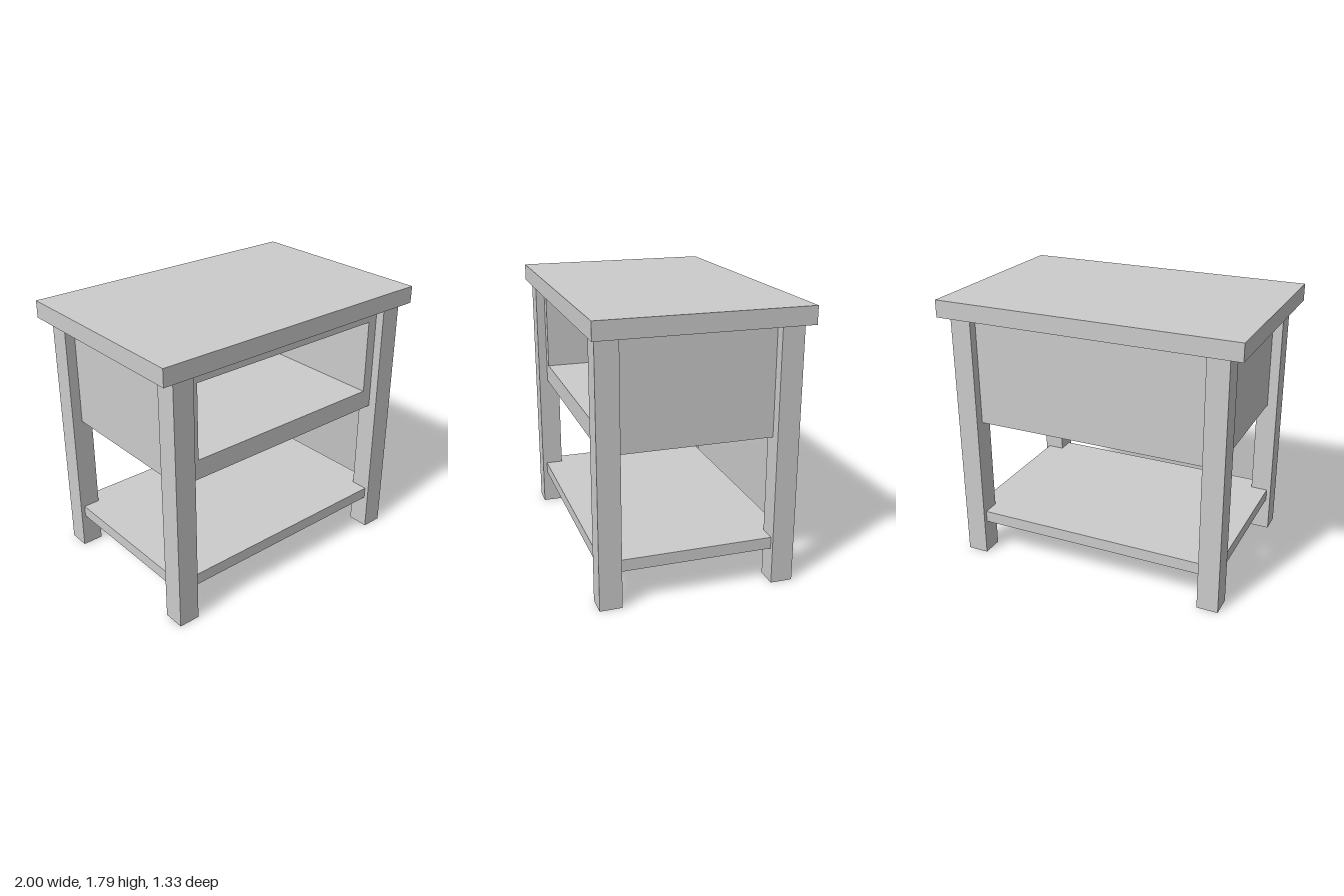
import * as THREE from 'three';

// Double-sided, because the parts are open shells
const material = new THREE.MeshStandardMaterial({ color: 0xcccccc, side: THREE.DoubleSide });

const FACES = ['left', 'right', 'top', 'bottom', 'front', 'back'];

// Box from y0 to y1, centred at x and z, leaving out the faces listed in open
function shell(name, width, depth, y0, y1, open, x = 0, z = 0) {
  const geometry = new THREE.BoxGeometry(width, y1 - y0, depth);
  const index = Array.from(geometry.index.array);
  geometry.setIndex(index.filter((_, i) => !open.includes(FACES[Math.floor(i / 6)])));
  geometry.clearGroups();
  const mesh = new THREE.Mesh(geometry, material);
  mesh.name = name;
  mesh.position.set(x, (y0 + y1) / 2, z);
  return mesh;
}

function rectangle(path, x, y0, y1) {
  path.moveTo(-x, y0);
  path.lineTo(x, y0);
  path.lineTo(x, y1);
  path.lineTo(-x, y1);
  path.closePath();
  return path;
}

export function createModel() {
  const group = new THREE.Group();
  group.name = 'nightstand';

  // Table top and lower shelf, both open underneath
  group.add(shell('tableTop', 2, 1.33, 1.68, 1.793, ['bottom']));
  group.add(shell('lowerShelf', 1.78, 1.21, 0.23, 0.307, ['bottom']));

  // Four square tubular legs reaching up into the table top
  for (const x of [-1, 1]) {
    for (const z of [-1, 1]) {
      const name = (z > 0 ? 'front' : 'back') + (x > 0 ? 'Left' : 'Right') + 'Leg';
      group.add(shell(name, 0.14, 0.143, 0, 1.74, ['top', 'bottom'], x * 0.847, z * 0.562));
    }
  }

  // Cabinet: outer walls without floor, front frame and the compartment behind it
  const cabinet = new THREE.Group();
  cabinet.name = 'cabinet';
  const bottom = 0.963, top = 1.715, front = 0.575, compartmentDepth = 1.015;
  cabinet.add(shell('cabinetWalls', 1.7, 2 * front, bottom, top, ['top', 'bottom', 'front']));

  const outline = rectangle(new THREE.Shape(), 0.85, bottom, top);
  outline.holes.push(rectangle(new THREE.Path(), 0.708, 1.093, 1.588));
  const frame = new THREE.Mesh(new THREE.ShapeGeometry(outline), material);
  frame.name = 'cabinetFrontFrame';
  frame.position.z = front;
  cabinet.add(frame);

  cabinet.add(shell('compartment', 1.416, compartmentDepth, 1.093, 1.588, ['front'],
    0, front - compartmentDepth / 2));
  group.add(cabinet);

  return group;
}
